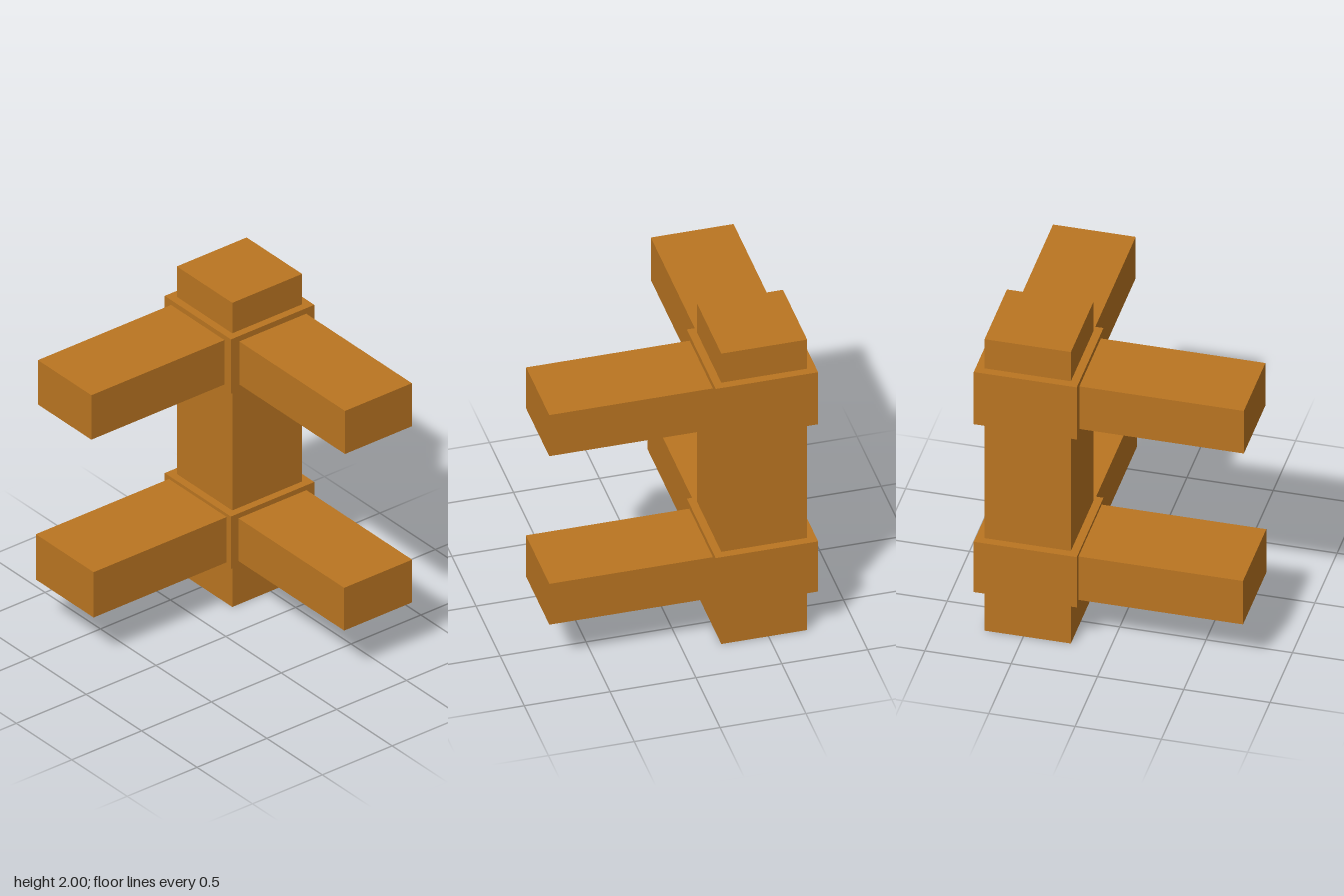
import * as THREE from 'three';

export function createModel() {
  const group = new THREE.Group();
  const wood = new THREE.MeshStandardMaterial({ color: 0xba7521 });
  wood.name = 'warm wood';

  // Box given by its extents along each axis
  function beam(name, [x0, x1], [y0, y1], [z0, z1]) {
    const mesh = new THREE.Mesh(new THREE.BoxGeometry(x1 - x0, y1 - y0, z1 - z0), wood);
    mesh.position.set((x0 + x1) / 2, (y0 + y1) / 2, (z0 + z1) / 2);
    mesh.name = name;
    group.add(mesh);
  }

  // Corner post
  beam('cornerPost', [-0.725, -0.225], [0, 2], [-0.725, -0.225]);

  // Collars around the post
  const collar = [-0.775, -0.178];
  beam('upperCollar', collar, [1.442, 1.8], collar);
  beam('lowerCollar', collar, [0.29, 0.635], collar);

  // Rails start inside the collars: one to the side, one to the front, per level
  const run = [-0.25, 0.775];
  beam('upperSideRail', run, [1.481, 1.764], [-0.717, -0.238]);
  beam('lowerSideRail', run, [0.322, 0.603], [-0.719, -0.232]);
  beam('upperFrontRail', [-0.718, -0.236], [1.476, 1.768], run);
  beam('lowerFrontRail', [-0.737, -0.216], [0.316, 0.614], run);

  return group;
}
